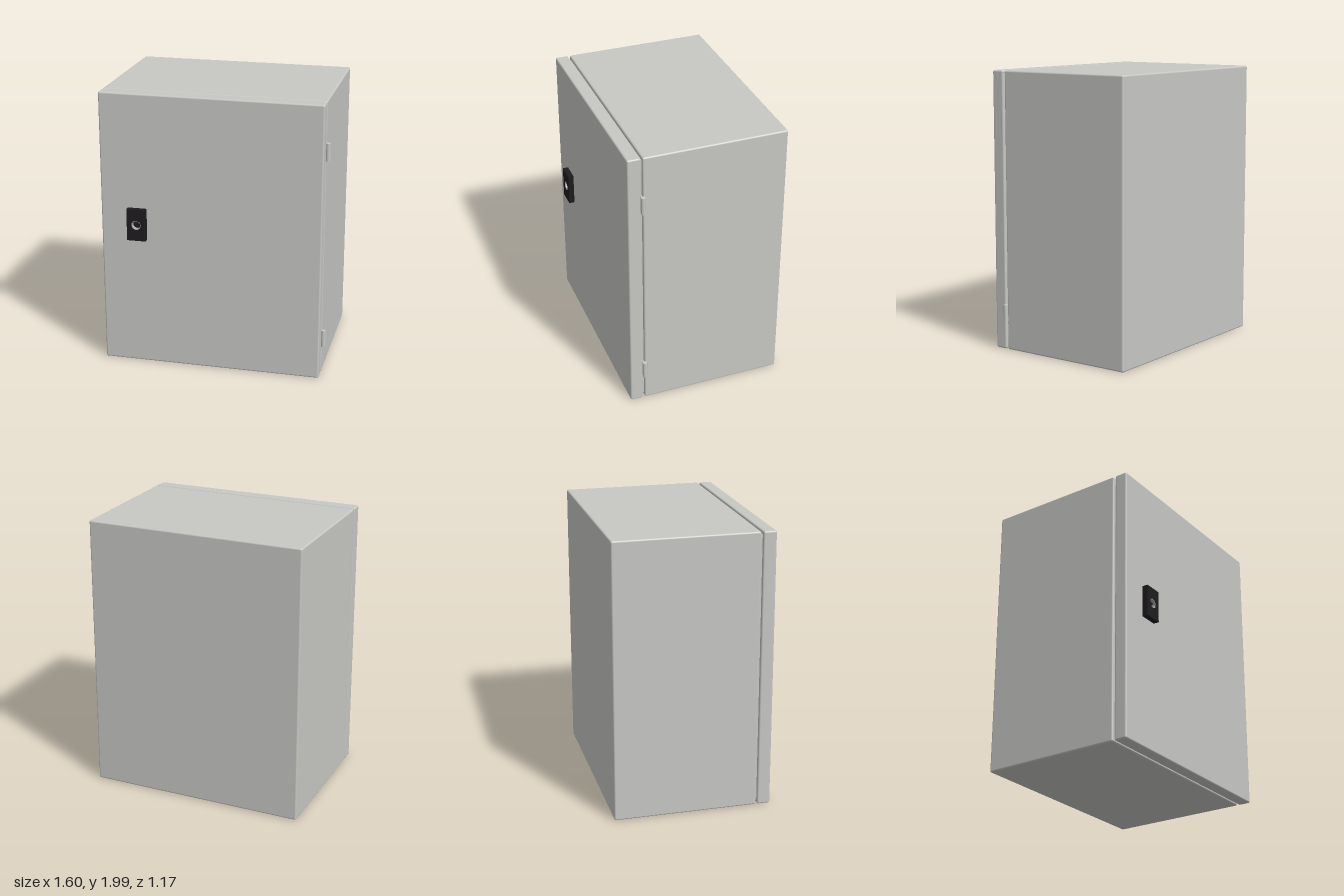
import * as THREE from 'three';
import { RoundedBoxGeometry } from 'three/addons/geometries/RoundedBoxGeometry.js';

const material = (name, color) => {
  const m = new THREE.MeshStandardMaterial({ color });
  m.name = name;
  return m;
};

export function createModel() {
  const group = new THREE.Group();
  const paint = material('light grey paint', 0xc7c7c4);
  const black = material('black plastic', 0x1e1c1e);
  const steel = material('steel', 0xa8a8a6);

  const add = (name, geometry, mat, x, y, z, parent = group) => {
    const mesh = new THREE.Mesh(geometry, mat);
    mesh.name = name;
    mesh.position.set(x, y, z);
    parent.add(mesh);
    return mesh;
  };

  // Cabinet shell and door, separated by a narrow gap
  const width = 1.57, height = 1.99, midX = -0.015, midY = 1;
  add('cabinetBody', new RoundedBoxGeometry(width, height, 1.02, 3, 0.012), paint, midX, midY, -0.07);
  add('door', new RoundedBoxGeometry(width, height, 0.093, 3, 0.012), paint, midX, midY, 0.5);

  // Inset rim that closes the gap
  add('doorRim', new THREE.BoxGeometry(width - 0.05, height - 0.05, 0.05), paint, midX, midY, 0.446);

  // Two hinges on the left edge: knuckle barrel and a leaf reaching into the gap
  for (const y of [0.27, 1.645]) {
    const hinge = new THREE.Group();
    hinge.name = 'hinge';
    hinge.position.set(0.782, y, 0.443);
    add('hingeBarrel', new THREE.CylinderGeometry(0.016, 0.016, 0.125, 20), paint, 0, 0, 0, hinge);
    add('hingeLeaf', new THREE.BoxGeometry(0.06, 0.125, 0.01), paint, -0.03, 0, 0.005, hinge);
    group.add(hinge);
  }

  // Lock: black plate with a round keyhole
  const lock = new THREE.Group();
  lock.name = 'lock';
  lock.position.set(-0.537, 1.06, 0.545);
  const w = 0.0675, h = 0.115, r = 0.034, depth = 0.042;
  const plate = new THREE.Shape([[-w, -h], [w, -h], [w, h], [-w, h]].map(p => new THREE.Vector2(...p)));
  plate.holes.push(new THREE.Path().absarc(0, 0, r, 0, Math.PI * 2, true));
  add('lockPlate', new THREE.ExtrudeGeometry(plate, { depth, bevelEnabled: false, curveSegments: 24 }),
    black, 0, 0, 0, lock);

  // Thin steel sleeve lining the keyhole
  const ring = new THREE.Shape().absarc(0, 0, r, 0, Math.PI * 2, false);
  ring.holes.push(new THREE.Path().absarc(0, 0, r - 0.004, 0, Math.PI * 2, true));
  add('lockSleeve', new THREE.ExtrudeGeometry(ring, { depth: depth - 0.002, bevelEnabled: false, curveSegments: 24 }),
    steel, 0, 0, 0, lock);

  // Recessed floor and three-sided key insert
  add('keyholeFloor', new THREE.CircleGeometry(r - 0.003, 24), black, 0, 0, 0.006, lock);
  const insert = new THREE.CylinderGeometry(0.017, 0.017, 0.026, 3).toNonIndexed();
  insert.rotateX(Math.PI / 2);
  insert.computeVertexNormals();
  add('keyInsert', insert, black, 0, 0, 0.019, lock);
  group.add(lock);

  return group;
}
